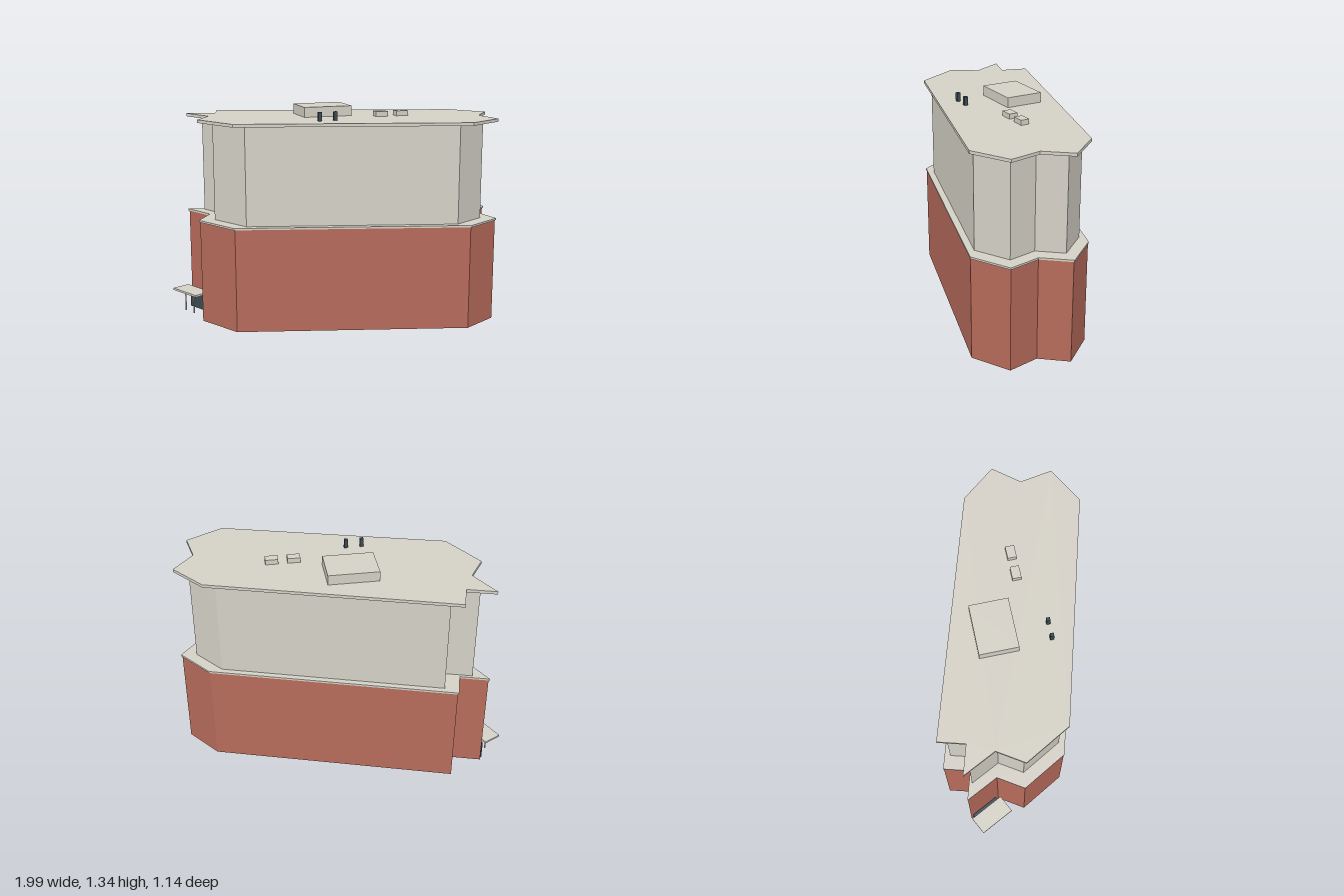
import * as THREE from 'three';

// Footprint corners as [x, z]
const FOOTPRINT = [
  [-0.645, -0.565], [0.82, -0.12], [0.985, 0.085], [0.86, 0.24],
  [0.895, 0.437], [0.665, 0.565], [-0.71, 0.18], [-0.865, -0.1],
  [-0.765, -0.255], [-0.865, -0.457], [-0.69, -0.405],
];
const CENTRE_X = 0.06;

const paint = (color) => new THREE.MeshStandardMaterial({ color });

export function createModel() {
  const model = new THREE.Group();
  model.name = 'building';
  const brick = paint(0xb56a5a);
  const stone = paint(0xd4d0c6);
  const dark = paint(0x3c4a54);

  // Upright prism over the footprint, scaled about its centre
  function storey(name, scale, y0, y1, material) {
    const shape = new THREE.Shape(FOOTPRINT.map(([x, z]) =>
      new THREE.Vector2(CENTRE_X + (x - CENTRE_X) * scale, -z * scale)));
    const geometry = new THREE.ExtrudeGeometry(shape, { depth: y1 - y0, bevelEnabled: false });
    geometry.rotateX(-Math.PI / 2);
    const mesh = new THREE.Mesh(geometry, material);
    mesh.name = name;
    mesh.position.y = y0;
    model.add(mesh);
  }

  // Box given by its extents along each axis
  function box(name, [x0, x1], [y0, y1], [z0, z1], material, parent = model) {
    const mesh = new THREE.Mesh(new THREE.BoxGeometry(x1 - x0, y1 - y0, z1 - z0), material);
    mesh.name = name;
    mesh.position.set((x0 + x1) / 2, (y0 + y1) / 2, (z0 + z1) / 2);
    parent.add(mesh);
  }

  // Main body
  storey('brickBase', 1, 0, 0.643, brick);
  storey('ledge', 1.008, 0.643, 0.655, stone);
  storey('upperWalls', 0.902, 0.655, 1.262, stone);
  storey('roofSlab', 1, 1.262, 1.281, stone);

  // Rooftop equipment
  box('plantRoom', [-0.215, 0.095], [1.281, 1.343], [-0.235, 0], stone);
  for (const x of [0.22, 0.355]) {
    box('roofVent', [x, x + 0.078], [1.281, 1.312], [0.052, 0.106], stone);
  }
  for (const x of [-0.189, -0.091]) {
    box('chimney', [x, x + 0.022], [1.281, 1.335], [0.187, 0.209], dark);
  }

  // Entrance against the slanted end wall; local z points outward
  const entrance = new THREE.Group();
  entrance.name = 'entrance';
  entrance.position.set(-0.815, 0, -0.355);
  entrance.rotation.y = Math.atan2(-0.894, 0.447);
  model.add(entrance);
  box('canopy', [-0.123, 0.113], [0.13, 0.143], [0.025, 0.144], stone, entrance);
  box('glassDoors', [-0.1, 0.09], [0, 0.12], [0.004, 0.024], dark, entrance);
  for (const x of [-0.045, 0.04]) {
    box('canopyPost', [x - 0.003, x + 0.003], [0, 0.13], [0.101, 0.107], stone, entrance);
  }

  return model;
}
